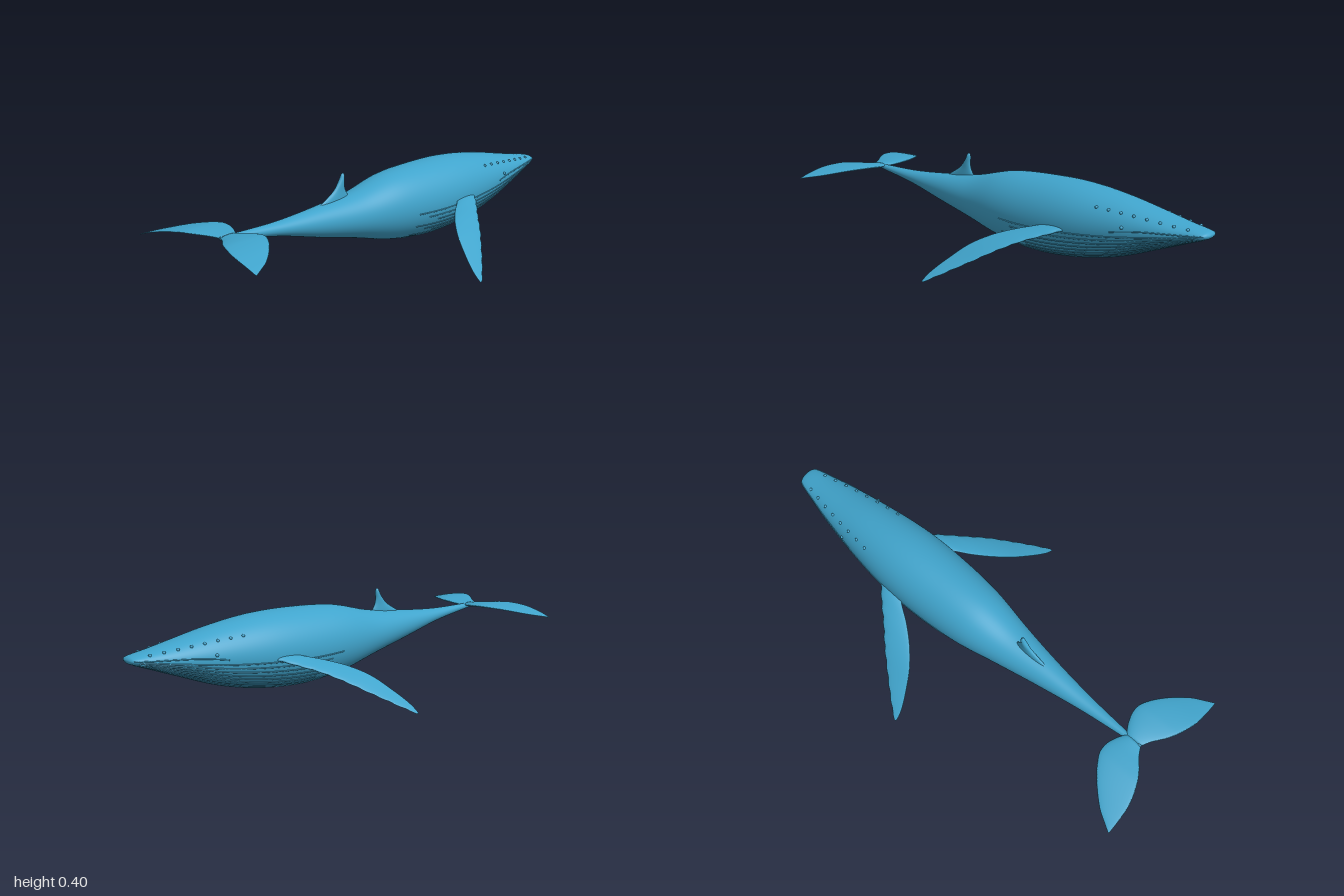
import * as THREE from 'three';

const skin = new THREE.MeshStandardMaterial({ color: 0x40a4cc });

// Smooth interpolation of table rows [key, a, b, ...] at key k
function sample(rows, k) {
  const last = rows.length - 1;
  let i = 0;
  while (i < last - 1 && k > rows[i + 1][0]) i++;
  const p = rows[i], q = rows[i + 1], h = q[0] - p[0];
  const t = THREE.MathUtils.clamp((k - p[0]) / h, 0, 1);
  const slope = (j, c) => {
    const a = rows[Math.max(j - 1, 0)], b = rows[Math.min(j + 1, last)];
    return (b[c] - a[c]) / (b[0] - a[0]);
  };
  return p.slice(1).map((v, n) => {
    const c = n + 1, t2 = t * t, t3 = t2 * t;
    return v * (2 * t3 - 3 * t2 + 1) + q[c] * (3 * t2 - 2 * t3)
      + h * (slope(i, c) * (t3 - 2 * t2 + t) + slope(i + 1, c) * (t3 - t2));
  });
}

// Closed skin over rings: point(k, angle) gives [x, y, z]
function loft(keys, sides, point) {
  const pos = [], index = [], n = keys.length;
  for (const k of keys) {
    for (let j = 0; j < sides; j++) pos.push(...point(k, (j / sides) * Math.PI * 2));
  }
  for (let i = 0; i < n - 1; i++) {
    for (let j = 0; j < sides; j++) {
      const a = i * sides + j, b = i * sides + (j + 1) % sides;
      index.push(a, a + sides, b, b, a + sides, b + sides);
    }
  }
  const end = (n - 1) * sides;
  for (let j = 1; j < sides - 1; j++) {
    index.push(0, j, j + 1, end, end + j + 1, end + j);
  }
  const g = new THREE.BufferGeometry();
  g.setAttribute('position', new THREE.Float32BufferAttribute(pos, 3));
  g.setIndex(index);
  g.computeVertexNormals();
  return g;
}

const steps = (a, b, n) => Array.from({ length: n + 1 }, (_, i) => a + (b - a) * i / n);

function add(parent, name, geometry) {
  const m = new THREE.Mesh(geometry, skin);
  m.name = name;
  parent.add(m);
  return m;
}

// Body: x, top, bottom, half width
const BODY = [
  [-0.88, 0.272, 0.258, 0.006], [-0.8, 0.272, 0.247, 0.014], [-0.6, 0.274, 0.215, 0.035],
  [-0.4, 0.291, 0.167, 0.064], [-0.2, 0.316, 0.122, 0.1], [0, 0.364, 0.074, 0.139],
  [0.2, 0.38, 0.057, 0.156], [0.4, 0.38, 0.072, 0.155], [0.6, 0.358, 0.115, 0.131],
  [0.8, 0.32, 0.188, 0.094], [0.9, 0.301, 0.226, 0.068], [0.95, 0.293, 0.245, 0.055],
  [0.98, 0.287, 0.255, 0.044], [0.99, 0.283, 0.26, 0.034], [0.996, 0.276, 0.267, 0.015],
];
function onBody(x, angle) {
  const [top, bottom, half] = sample(BODY, x);
  return [x, (top + bottom) / 2 + (top - bottom) / 2 * Math.sin(angle), half * Math.cos(angle)];
}

// Thin raised line that follows the body
function bodyLine(x0, x1, angleAt, radius) {
  const pts = steps(x0, x1, 24).map(x => new THREE.Vector3(...onBody(x, angleAt(x))));
  return new THREE.TubeGeometry(new THREE.CatmullRomCurve3(pts), 48, radius, 6);
}

// Flippers: z, trailing x, leading x, y, half thickness
const FLIPPER = [
  [0.1, 0.335, 0.435, 0.222, 0.012], [0.156, 0.29, 0.405, 0.212, 0.011],
  [0.21, 0.213, 0.355, 0.193, 0.009], [0.27, 0.143, 0.292, 0.169, 0.008],
  [0.34, 0.082, 0.224, 0.133, 0.006], [0.42, 0.036, 0.138, 0.08, 0.004],
  [0.476, 0.01, 0.075, 0.042, 0.003], [0.51, 0.001, 0.034, 0.018, 0.002],
  [0.531, 0, 0.006, 0.003, 0.001],
];
// Tail flukes: same columns
const FLUKE = [
  [0, -0.88, -0.805, 0.266, 0.009], [0.04, -0.902, -0.782, 0.271, 0.009],
  [0.09, -0.94, -0.767, 0.277, 0.008], [0.14, -0.967, -0.773, 0.279, 0.007],
  [0.22, -0.993, -0.826, 0.27, 0.005], [0.3, -1, -0.908, 0.251, 0.003],
  [0.335, -1, -0.965, 0.24, 0.002], [0.352, -1, -0.995, 0.234, 0.001],
];
function blade(table, count, side, scallop) {
  const keys = steps(table[0][0], table[table.length - 1][0], count);
  return loft(keys, 20, (z, a) => {
    const [back, front, y, thick] = sample(table, z);
    const c = Math.cos(a);
    const bump = c > 0 ? scallop * Math.abs(Math.sin(z * 75)) * c : 0;
    return [(back + front) / 2 + (front - back) / 2 * c + bump,
      y - side * Math.sin(a) * thick * (1 + 0.3 * c), side * z];
  });
}

// Dorsal fin: y, rear x, front x, half thickness
const DORSAL = [
  [0.28, -0.4, -0.205, 0.012], [0.31, -0.345, -0.221, 0.012], [0.335, -0.305, -0.236, 0.011],
  [0.36, -0.281, -0.242, 0.011], [0.385, -0.264, -0.241, 0.01], [0.4, -0.257, -0.242, 0.007],
  [0.406, -0.252, -0.246, 0.002],
];

export function createModel() {
  const whale = new THREE.Group();
  whale.name = 'whale';

  const stations = [...steps(-0.88, 0.94, 80), ...steps(0.945, 0.996, 14)];
  add(whale, 'body', loft(stations, 64, onBody));

  add(whale, 'dorsalFin', loft(steps(0.28, 0.406, 24), 20, (y, a) => {
    const [rear, front, thick] = sample(DORSAL, y);
    return [(rear + front) / 2 + (front - rear) / 2 * Math.cos(a), y, thick * Math.sin(a)];
  }));

  // Throat pleats fanning back from the chin, with staggered ends
  const pleats = new THREE.Group();
  pleats.name = 'throatPleats';
  whale.add(pleats);
  const count = 22;
  for (let i = 0; i < count; i++) {
    const angle = -Math.PI * (0.05 + 0.9 * i / (count - 1));
    const end = 0.06 + 0.06 * (Math.min(i, count - 1 - i) % 3);
    add(pleats, 'pleat', bodyLine(end, 0.965, () => angle, 0.0028));
  }

  for (const side of [1, -1]) {
    const label = side > 0 ? 'Front' : 'Back';
    const mirror = a => (side > 0 ? a : Math.PI - a);
    add(whale, 'flipper' + label, blade(FLIPPER, 60, side, 0.006));
    add(whale, 'fluke' + label, blade(FLUKE, 36, side, 0));

    // Mouth line curving down towards the eye
    add(whale, 'mouthLine' + label,
      bodyLine(0.62, 0.985, x => mirror(0.02 + 0.12 * Math.sin((x - 0.62) * 8)), 0.0028));

    const eye = add(whale, 'eye' + label, new THREE.SphereGeometry(0.007, 14, 10));
    eye.position.set(...onBody(0.67, mirror(0.22)));

    // Row of head bumps
    for (const x of steps(0.54, 0.92, 7)) {
      const bump = add(whale, 'headBump' + label, new THREE.SphereGeometry(0.0065, 12, 8));
      bump.position.set(...onBody(x, mirror(0.72 + (x - 0.54) * 0.15)));
    }
  }
  return whale;
}
